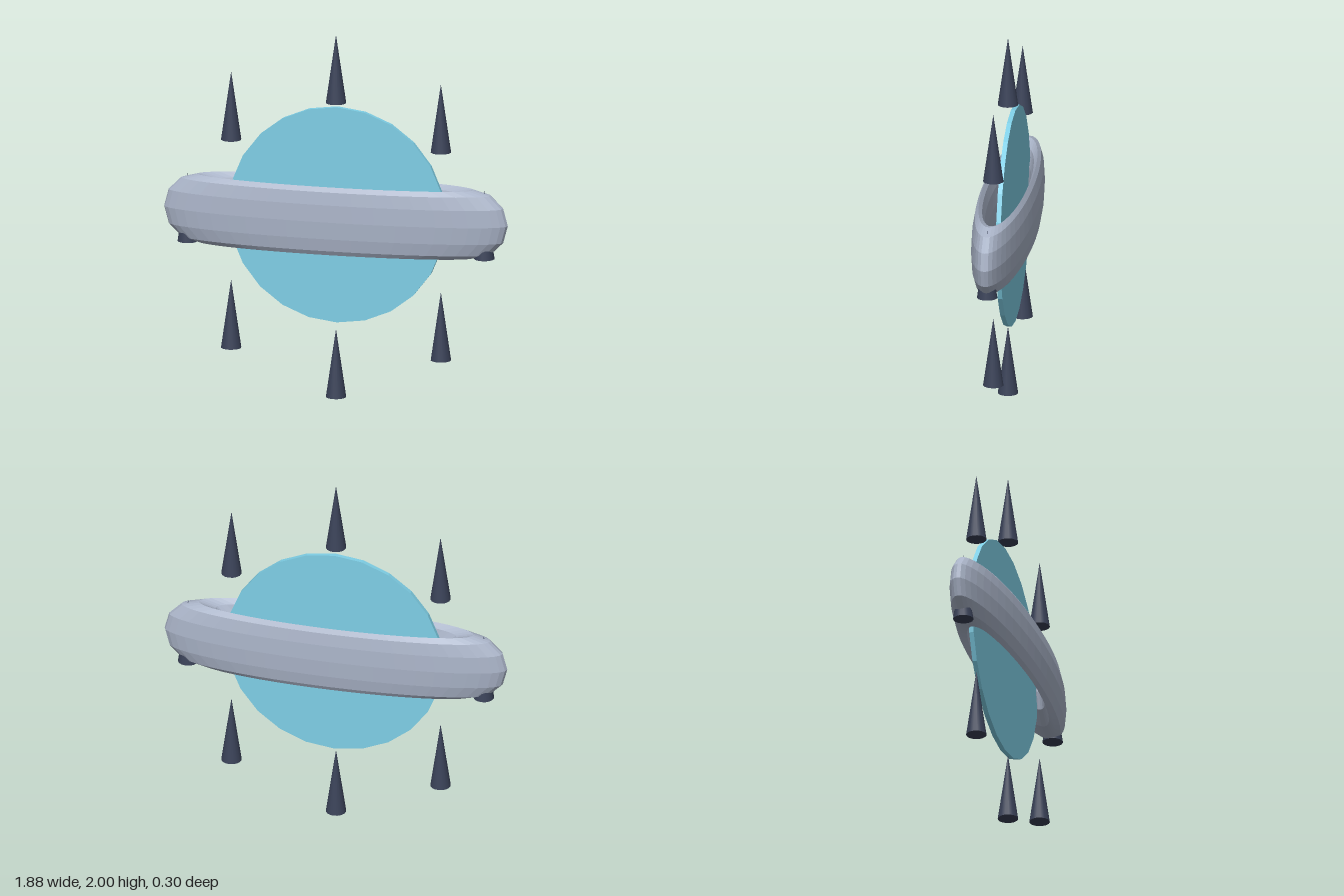
import * as THREE from 'three';

export function createModel() {
  const group = new THREE.Group();
  const centerY = 1;
  const mat = (color, flatShading) => new THREE.MeshStandardMaterial({ color, flatShading });
  const add = (name, geometry, material, x, y, z) => {
    const mesh = new THREE.Mesh(geometry, material);
    mesh.name = name;
    mesh.position.set(x, y, z);
    group.add(mesh);
    return mesh;
  };

  // Horizontal ring, squashed front to back
  const ring = new THREE.TorusGeometry(0.754, 0.1875, 12, 48);
  ring.rotateX(Math.PI / 2);
  ring.scale(1, 1, 0.16);
  ring.computeVertexNormals();
  add('ring', ring, mat(0xaab4c8, true), 0, centerY, 0);

  // Thin upright disc, slightly behind the middle
  const disc = new THREE.CylinderGeometry(0.594, 0.594, 0.025, 24);
  disc.rotateX(Math.PI / 2);
  add('portalDisc', disc, mat(0x7fcfe6, true), 0, centerY, -0.028);

  // Eight upright spikes spaced on a circle
  const spike = new THREE.ConeGeometry(0.055, 0.375, 16);
  const spikeMaterial = mat(0x3a4258, false);
  for (let i = 0; i < 8; i++) {
    const a = (i * Math.PI) / 4;
    add(`spike${i + 1}`, spike, spikeMaterial,
      Math.cos(a) * 0.8125, centerY + Math.sin(a) * 0.8125, 0);
  }
  return group;
}
